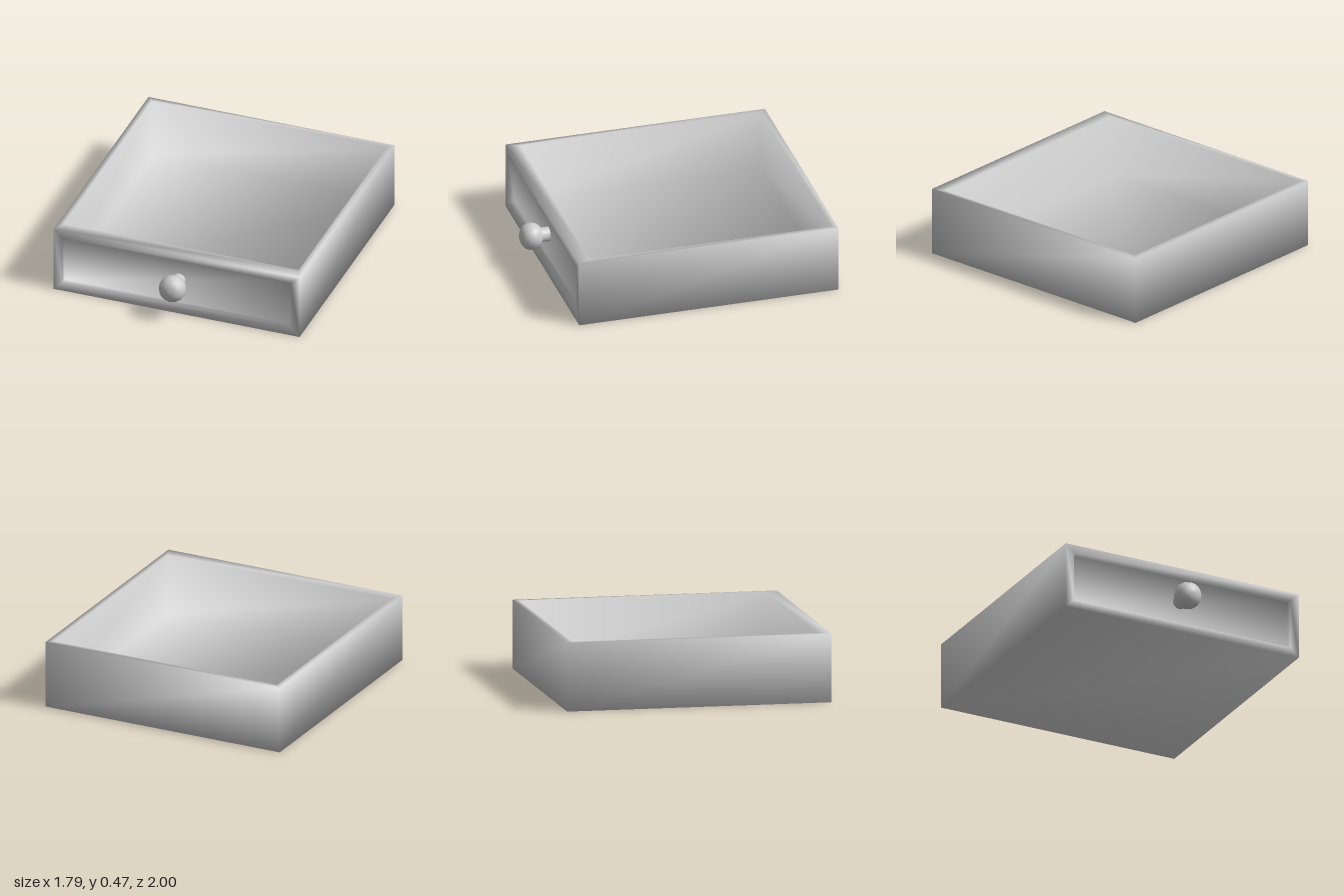
import * as THREE from 'three';

const material = new THREE.MeshStandardMaterial({ color: 0xcccccc, side: THREE.DoubleSide });

// Smooth normals, each face weighted by its angle at the shared corner
function angleWeightedNormals(points, index) {
  const normals = points.map(() => new THREE.Vector3());
  for (let i = 0; i < index.length; i += 3) {
    const tri = index.slice(i, i + 3);
    const [a, b, c] = tri.map((k) => points[k]);
    const n = new THREE.Triangle(a, b, c).getNormal(new THREE.Vector3());
    tri.forEach((k, j) => {
      const u = points[tri[(j + 1) % 3]].clone().sub(points[k]);
      const v = points[tri[(j + 2) % 3]].clone().sub(points[k]);
      normals[k].addScaledVector(n, u.angleTo(v));
    });
  }
  return normals.map((n) => n.normalize());
}

// Body: an open drawer with a deep inside and a shallow panel sunk into its front
function createBody() {
  const W = 0.895, H = 0.475, FRONT = 0.84, BACK = -1, FLOOR = 0.04;
  const points = [], index = [];
  const addRing = (corners) => corners.map((c) => points.push(new THREE.Vector3(...c)) - 1);
  // corners run counter-clockwise as seen from outside the face
  const quad = (a, b, c, d) => index.push(a, b, c, a, c, d);
  const band = (outer, inner) => {
    for (let i = 0; i < 4; i++) {
      const j = (i + 1) % 4;
      quad(outer[i], outer[j], inner[j], inner[i]);
    }
  };
  const frontRing = (x, y0, y1, z) => addRing([[-x, y0, z], [x, y0, z], [x, y1, z], [-x, y1, z]]);
  const topRing = (x, z0, z1, y) => addRing([[-x, y, z1], [x, y, z1], [x, y, z0], [-x, y, z0]]);

  const f = frontRing(W, 0, H, FRONT);
  const b = frontRing(W, 0, H, BACK);

  // plain sides, back and underside
  quad(f[1], b[1], b[2], f[2]);
  quad(b[0], f[0], f[3], b[3]);
  quad(b[1], b[0], b[3], b[2]);
  quad(b[0], b[1], f[1], f[0]);

  // rim, inner walls and floor
  const sink = (outer, rim, floor) => {
    band(outer, rim);
    band(rim, floor);
    quad(...floor);
  };
  sink(f, frontRing(0.83, 0.063, 0.415, FRONT), frontRing(0.83, 0.063, 0.415, FRONT - 0.045));
  sink([f[3], f[2], b[2], b[3]], topRing(0.855, -0.96, 0.75, H), topRing(0.855, -0.96, 0.75, FLOOR));

  const geometry = new THREE.BufferGeometry().setFromPoints(points);
  const normals = angleWeightedNormals(points, index).flatMap((n) => n.toArray());
  geometry.setAttribute('normal', new THREE.Float32BufferAttribute(normals, 3));
  geometry.setIndex(index);
  return geometry;
}

// Knob: a straight stem running into a slightly flattened ball
function createKnob() {
  const profile = [
    [0.05, -0.13], [0.05, -0.07], [0.066, -0.062], [0.084, -0.042], [0.094, -0.01],
    [0.092, 0.02], [0.08, 0.048], [0.057, 0.067], [0.03, 0.077], [0, 0.08],
  ];
  const geometry = new THREE.LatheGeometry(profile.map(([r, y]) => new THREE.Vector2(r, y)), 16);
  return geometry.rotateX(Math.PI / 2);
}

export function createModel() {
  const model = new THREE.Group();
  model.name = 'drawer';

  const body = new THREE.Mesh(createBody(), material);
  body.name = 'drawerBody';

  const knob = new THREE.Mesh(createKnob(), material);
  knob.name = 'knob';
  knob.position.set(0, 0.24, 0.92);

  model.add(body, knob);
  return model;
}
